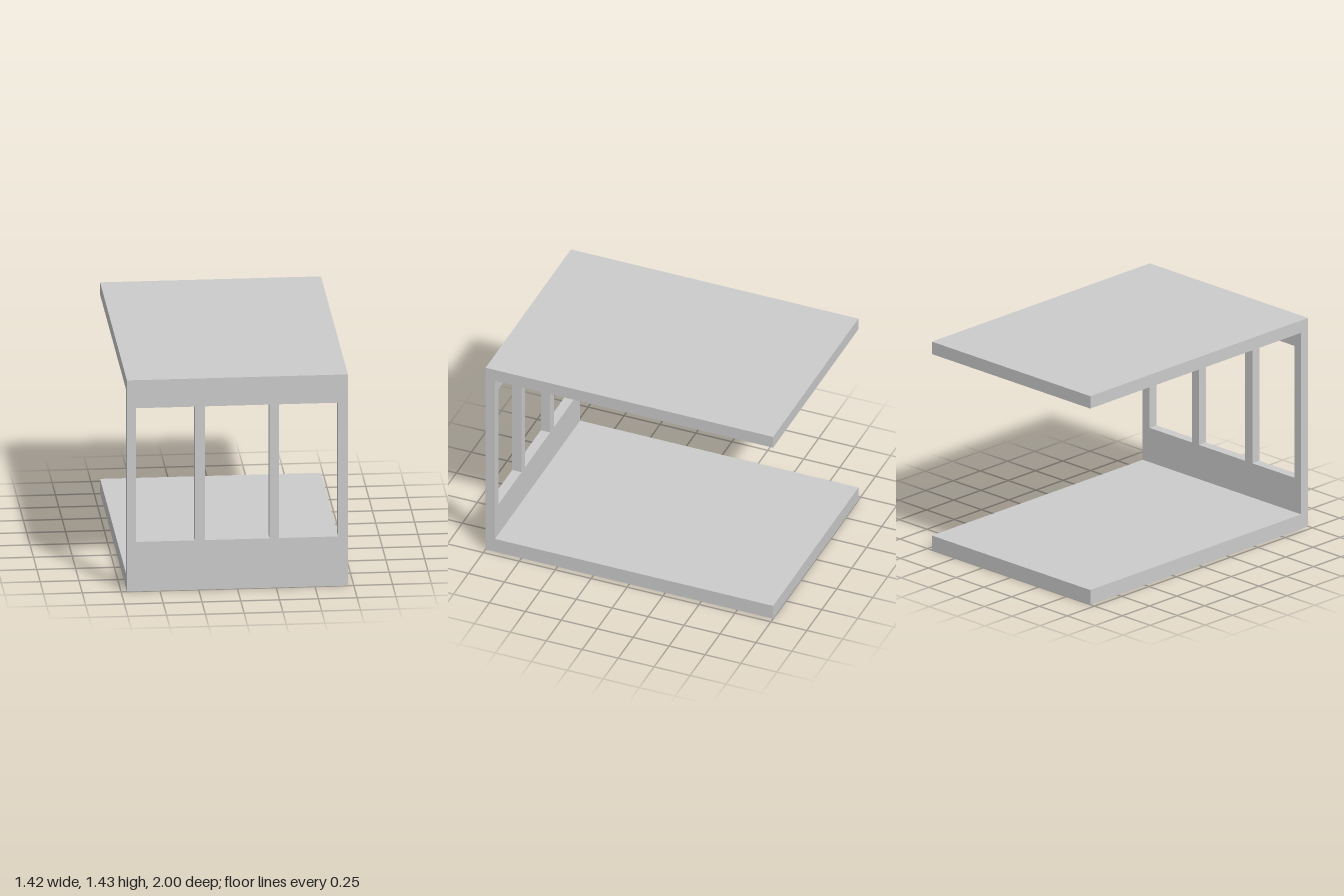
import * as THREE from 'three';

const W = 1.424, H = 1.43, D = 2;
const FLOOR = 0.1, ROOF = 0.085, WALL = 0.065;

// Axis-aligned rectangle traced onto a Shape or Path
function rect(path, x0, y0, x1, y1) {
  path.moveTo(x0, y0);
  path.lineTo(x1, y0);
  path.lineTo(x1, y1);
  path.lineTo(x0, y1);
  path.closePath();
  return path;
}

export function createModel() {
  const group = new THREE.Group();
  group.name = 'openRoom';
  const material = new THREE.MeshStandardMaterial({ color: 0xcccccc });

  const add = (name, geometry, x, y, z) => {
    const mesh = new THREE.Mesh(geometry, material);
    mesh.name = name;
    mesh.position.set(x, y, z);
    group.add(mesh);
  };

  // Floor and roof slabs
  add('floorSlab', new THREE.BoxGeometry(W, FLOOR, D), 0, FLOOR / 2, 0);
  add('roofSlab', new THREE.BoxGeometry(W, ROOF, D), 0, H - ROOF / 2, 0);

  // Front wall between the slabs, with three window openings
  const wall = rect(new THREE.Shape(), -W / 2, FLOOR, W / 2, H - ROOF);
  for (const [x0, x1] of [[-0.653, -0.275], [-0.21, 0.207], [0.268, 0.649]]) {
    wall.holes.push(rect(new THREE.Path(), x0, 0.335, x1, 1.24));
  }
  const wallGeometry = new THREE.ExtrudeGeometry(wall, { depth: WALL, bevelEnabled: false });
  add('windowWall', wallGeometry, 0, 0, D / 2 - WALL);

  return group;
}
